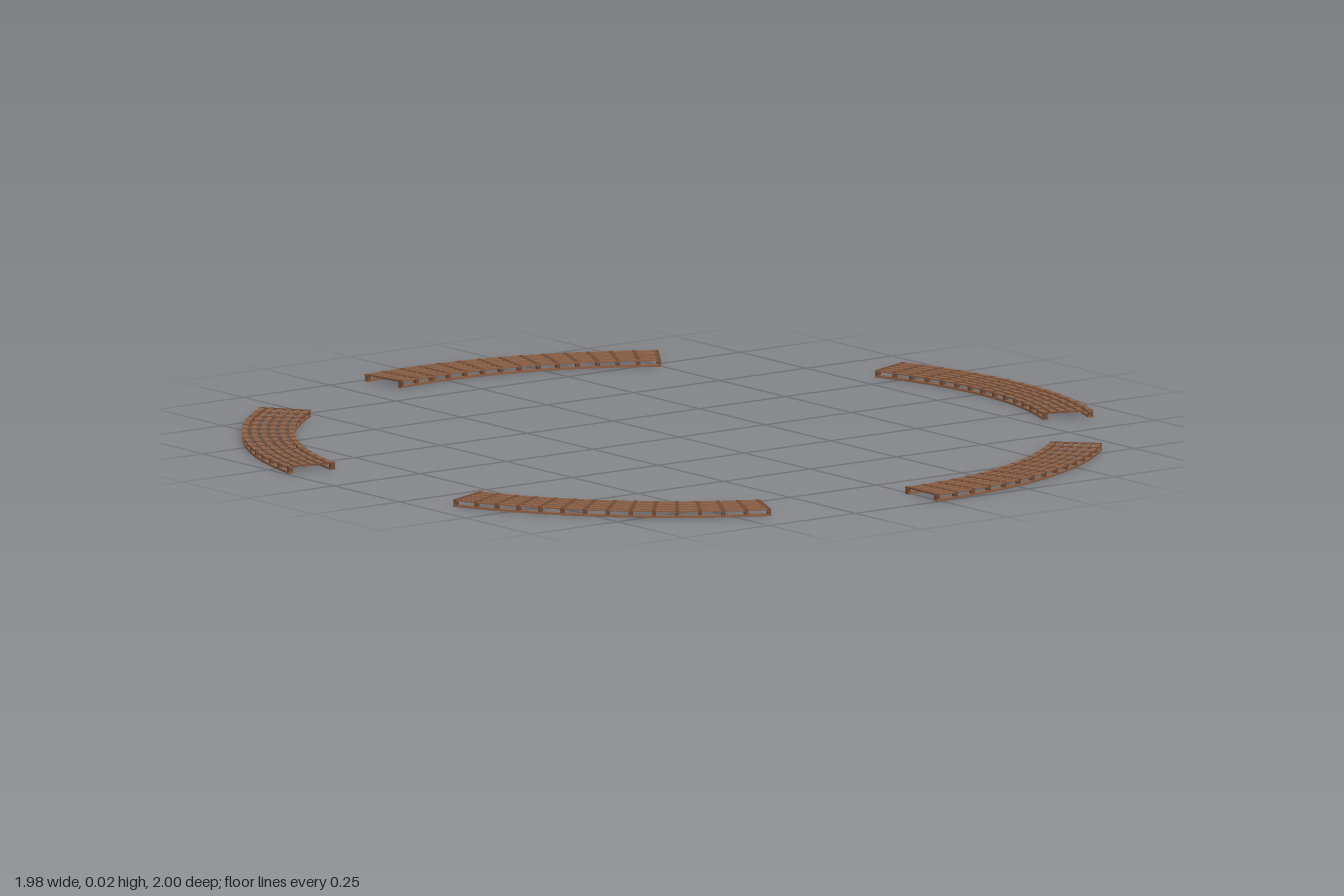
import * as THREE from 'three';

const OUTER = 0.998, INNER = 0.877, HEIGHT = 0.017;
const BAR = 0.013, LAYER = 0.003, TIE = 0.009, RAILS = 6, BAYS = 14;
const SPAN = THREE.MathUtils.degToRad(43.7);
const STARTS = [-20.9, 46.3, 114.4, 190.5, 261.5];

// Curved bar between two radii, with its top at the given height
function arcBar(r0, r1, top, thick, start) {
  const s = new THREE.Shape();
  s.absarc(0, 0, r1, start, start + SPAN, false);
  s.absarc(0, 0, r0, start + SPAN, start, true);
  const g = new THREE.ExtrudeGeometry(s, { depth: thick, bevelEnabled: false, curveSegments: BAYS * 2 });
  g.rotateX(Math.PI / 2);
  g.translate(0, top, 0);
  return g;
}

export function createModel() {
  const wood = new THREE.MeshStandardMaterial({ color: 0x8a5f45 });
  wood.name = 'brown wood';
  const dark = new THREE.MeshStandardMaterial({ color: 0x704a35 });
  dark.name = 'dark wood';

  const model = new THREE.Group();
  model.name = 'ringOfCurvedLattices';
  const add = (parent, geometry, material, name) => {
    const m = new THREE.Mesh(geometry, material);
    m.name = name;
    parent.add(m);
    return m;
  };

  const tieGeo = new THREE.BoxGeometry(OUTER - INNER, LAYER, TIE);
  const postGeo = new THREE.BoxGeometry(BAR * 0.8, HEIGHT - LAYER, TIE);
  const mid = (OUTER + INNER) / 2;

  STARTS.forEach((deg) => {
    const start = THREE.MathUtils.degToRad(deg);
    const section = new THREE.Group();
    section.name = 'latticeSection';

    // Long curved slats of the deck
    for (let i = 0; i < RAILS; i++) {
      const r = INNER + (OUTER - INNER - BAR) * i / (RAILS - 1);
      add(section, arcBar(r, r + BAR, HEIGHT - 0.0005, LAYER, start), wood, 'deckSlat');
    }
    // Lower rails along both edges
    for (const r of [INNER, OUTER - BAR]) {
      add(section, arcBar(r, r + BAR, LAYER + 0.002, LAYER + 0.002, start), wood, 'lowerRail');
    }
    // Cross ties with a post under each end
    const inset = TIE / 2 / mid;
    for (let i = 0; i <= BAYS; i++) {
      const bay = new THREE.Group();
      bay.name = 'crossFrame';
      bay.rotation.y = -(start + inset + (SPAN - 2 * inset) * i / BAYS);
      add(bay, tieGeo, dark, 'crossTie').position.set(mid, HEIGHT - LAYER / 2, 0);
      for (const r of [INNER + BAR / 2, OUTER - BAR / 2]) {
        add(bay, postGeo, dark, 'post').position.set(r, (HEIGHT - LAYER) / 2 + 0.001, 0);
      }
      section.add(bay);
    }
    section.position.set(-0.012, 0, 0);
    model.add(section);
  });
  return model;
}
